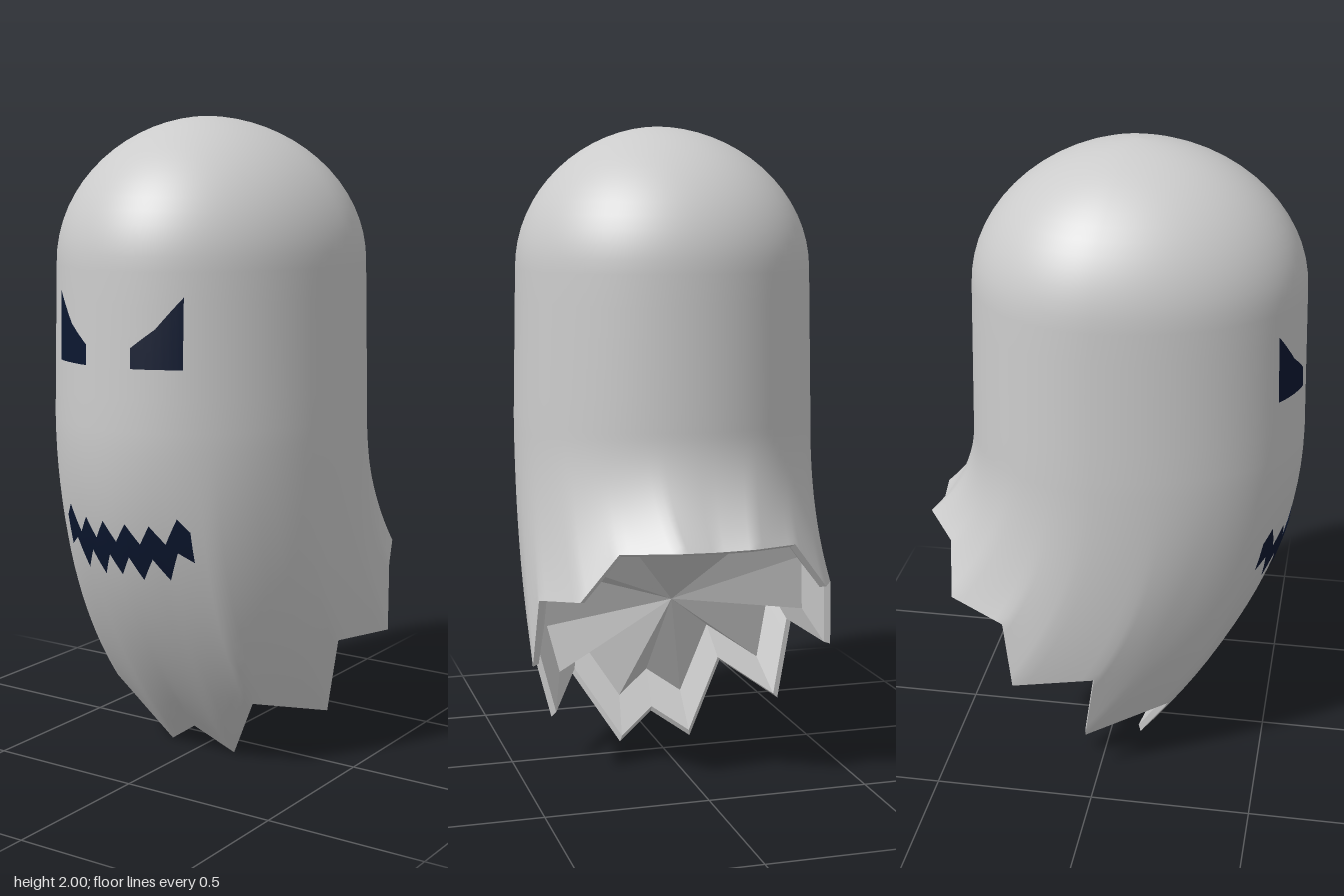
import * as THREE from 'three';

const N = 120; // columns around the sheet
const TOP = 1.56, WAIST = 1.1;

// Half of the ragged hem, from front to back: notch, tip, notch, ...
const HEM = [
  [0, 0.08, 0.15], [0.12, 0, 0.1], [0.26, 0.22, 0.21], [0.38, 0.15, -0.04],
  [0.44, 0.40, 0], [0.48, 0.38, -0.25], [0.465, 0.59, -0.28], [0.38, 0.62, -0.46],
  [0.27, 0.76, -0.485], [0.11, 0.775, -0.59], [0, 0.77, -0.575],
].map(p => new THREE.Vector3(...p));

// Hem position for an angle (0 = front, +x side positive)
function hemPoint(a) {
  const side = a > Math.PI ? -1 : 1;
  const u = (a > Math.PI ? 2 * Math.PI - a : a) / Math.PI * 10;
  const i = Math.min(9, Math.floor(u + 1e-6));
  const p = HEM[i].clone().lerp(HEM[i + 1], u - i);
  p.x *= side;
  return p;
}

// Egg-shaped horizontal section, longer towards the front
function section(a, y, scale = 1, shift = 0) {
  const k = (TOP - y) / (TOP - WAIST);
  const c = Math.cos(a);
  const rz = c > 0 ? 0.577 + 0.012 * k : 0.44 + 0.01 * k;
  return new THREE.Vector3((0.458 + 0.01 * k) * Math.sin(a) * scale, y, c * rz * scale + shift);
}

// Closed rings joined from the top down
function loft(rings, inward = false) {
  const pos = [], idx = [];
  for (const ring of rings) for (const p of ring) pos.push(p.x, p.y, p.z);
  for (let j = 0; j < rings.length - 1; j++) {
    for (let i = 0; i < N; i++) {
      const a = j * N + i, b = j * N + (i + 1) % N, d = a + N, c = b + N;
      if (inward) idx.push(a, b, d, b, c, d);
      else idx.push(a, d, b, b, d, c);
    }
  }
  const g = new THREE.BufferGeometry();
  g.setAttribute('position', new THREE.Float32BufferAttribute(pos, 3));
  g.setIndex(idx);
  g.computeVertexNormals();
  return g;
}

export function createModel() {
  const group = new THREE.Group();
  const grey = new THREE.MeshStandardMaterial({ color: 0xcccccc });
  const greyFlat = new THREE.MeshStandardMaterial({ color: 0xcccccc, flatShading: true, side: THREE.DoubleSide });
  const dark = new THREE.MeshStandardMaterial({ color: 0x0b1730, side: THREE.DoubleSide });
  const add = (name, geometry, material) => {
    const mesh = new THREE.Mesh(geometry, material);
    mesh.name = name;
    group.add(mesh);
    return mesh;
  };
  const angles = Array.from({ length: N }, (_, i) => i / N * Math.PI * 2);
  const ringOf = f => angles.map(f);

  // Sheet: dome, straight trunk, then a skirt swept backwards to the hem
  const rings = [];
  for (let j = 0; j < 16; j++) {
    const t = (1 - j / 16) * Math.PI / 2;
    const r = Math.max(0.0005, Math.pow(Math.cos(t), 1.06));
    rings.push(ringOf(a => {
      const p = section(a, TOP, r, 0.07 * (1 - r));
      p.y = TOP + (2 - TOP) * Math.sin(t);
      return p;
    }));
  }
  for (let j = 0; j < 5; j++) {
    const y = TOP + (WAIST - TOP) * j / 5;
    rings.push(ringOf(a => section(a, y)));
  }
  for (let j = 0; j <= 18; j++) {
    rings.push(ringOf(a => {
      const start = section(a, WAIST), bend = start.clone();
      bend.y = WAIST - 0.52 * (WAIST - (0.41 - 0.36 * Math.cos(a)));
      return new THREE.QuadraticBezierCurve3(start, bend, hemPoint(a)).getPoint(j / 18);
    }));
  }
  const sheet = add('sheet', loft(rings), grey);

  // Hem edge and inside wall, closed by a slanted panel
  const mid = new THREE.Vector3(0, 0.39, -0.245);
  const up = new THREE.Vector3(0, 0.66, 0.75);
  const inner = (scale, rise) => ringOf(a => hemPoint(a).sub(mid).multiplyScalar(scale).add(mid).addScaledVector(up, rise));
  add('hemEdge', loft([inner(1, 0), inner(0.96, 0.008)], true), greyFlat);
  add('insideWall', loft([inner(0.96, 0.008), inner(0.88, 0.14)], true), greyFlat);
  add('insidePanel', loft([inner(0.88, 0.14), inner(0.001, 0.2)], true), greyFlat);

  // Face patches laid on the sheet, given by an upper and a lower outline
  sheet.updateMatrixWorld();
  const ray = new THREE.Raycaster();
  const forward = new THREE.Vector3(0, 0, -1);
  function onSheet(x, y) {
    ray.set(new THREE.Vector3(x, y, 2), forward);
    const hit = ray.intersectObject(sheet)[0];
    return (hit ? hit.point.z : 0.5) + 0.005;
  }
  function heightAt(line, x) {
    let i = 0;
    while (i < line.length - 2 && x > line[i + 1][0]) i++;
    const [x0, y0] = line[i], [x1, y1] = line[i + 1];
    return y0 + (y1 - y0) * (x - x0) / (x1 - x0);
  }
  function patch(name, upper, lower) {
    const x0 = upper[0][0], x1 = upper[upper.length - 1][0];
    const xs = new Set([...upper, ...lower].map(p => p[0]));
    for (let i = 1; i < 24; i++) xs.add(x0 + (x1 - x0) * i / 24);
    const cols = [...xs].sort((a, b) => a - b);
    const pos = [], idx = [], R = 6;
    cols.forEach((x, i) => {
      const hi = heightAt(upper, x), lo = heightAt(lower, x);
      for (let j = 0; j <= R; j++) {
        const y = lo + (hi - lo) * j / R;
        pos.push(x, y, onSheet(x, y));
        if (i && j) {
          const d = i * (R + 1) + j, c = d - 1, b = d - R - 1, a = b - 1;
          idx.push(a, c, b, b, c, d);
        }
      }
    });
    const g = new THREE.BufferGeometry();
    g.setAttribute('position', new THREE.Float32BufferAttribute(pos, 3));
    g.setIndex(idx);
    g.computeVertexNormals();
    add(name, g, dark);
  }
  const mirror = line => line.map(([x, y]) => [-x, y]).reverse();
  const brow = [[0.08, 1.345], [0.15, 1.40], [0.22, 1.49]];
  const lid = [[0.08, 1.285], [0.22, 1.285]];
  patch('leftEye', brow, lid);
  patch('rightEye', mirror(brow), mirror(lid));

  // Zigzag mouth
  const upperLip = [[0, 0.765], [0.04, 0.825], [0.08, 0.765], [0.115, 0.825], [0.155, 0.77], [0.195, 0.85], [0.225, 0.81]];
  const lowerLip = [[0, 0.66], [0.035, 0.72], [0.07, 0.65], [0.11, 0.72], [0.15, 0.655], [0.185, 0.745], [0.225, 0.715]];
  patch('mouth', [...mirror(upperLip), ...upperLip.slice(1)], [...mirror(lowerLip), ...lowerLip.slice(1)]);

  return group;
}
